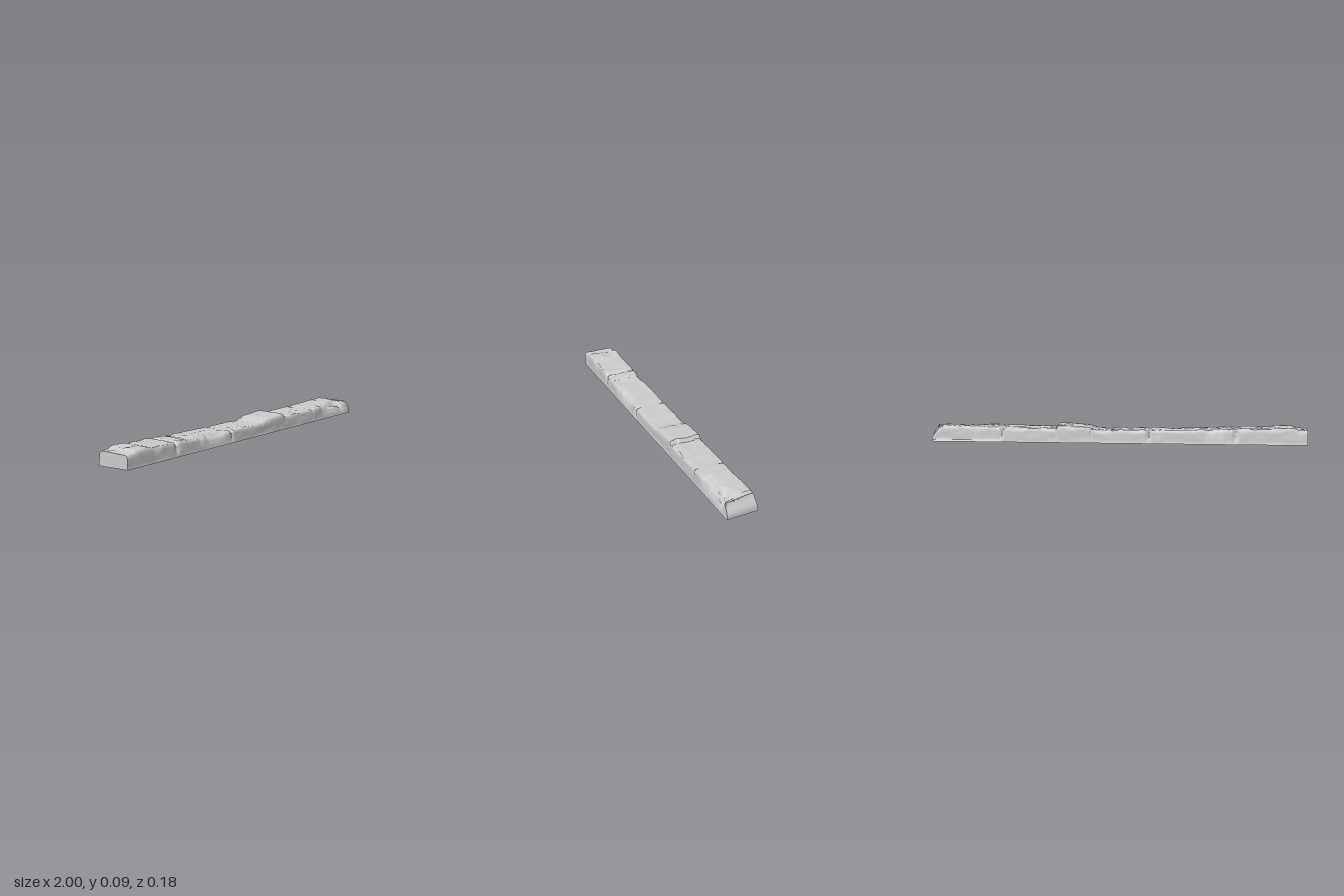
import * as THREE from 'three';
import { mergeVertices, toCreasedNormals } from 'three/addons/utils/BufferGeometryUtils.js';

const { smoothstep, lerp, clamp } = THREE.MathUtils;
const bump = (d, w) => 1 - smoothstep(Math.abs(d), 0, w);

// Smooth seeded value noise in -1..1
const hash = (i, j) => { const s = Math.sin(i * 127.1 + j * 311.7) * 43758.5453; return 2 * (s - Math.floor(s)) - 1; };
function noise(x, y) {
  const i = Math.floor(x), j = Math.floor(y);
  const u = smoothstep(x - i, 0, 1), v = smoothstep(y - j, 0, 1);
  return lerp(lerp(hash(i, j), hash(i + 1, j), u), lerp(hash(i, j + 1), hash(i + 1, j + 1), u), v);
}

// Height of the top along the length
const PROFILE = [[-1, .074], [-.95, .078], [-.92, .09], [-.85, .09], [-.8, .082], [-.66, .081], [-.55, .079],
  [-.5, .074], [-.2, .07], [.1, .067], [.125, .077], [.17, .085], [.305, .091], [.318, .073], [.59, .076],
  [.63, .081], [.94, .084], [.97, .079], [1, .072]];
function heightAt(x) {
  const k = clamp(PROFILE.findIndex(p => p[0] >= x), 1, PROFILE.length - 1);
  const [a, b] = [PROFILE[k - 1], PROFILE[k]];
  return lerp(a[1], b[1], clamp((x - a[0]) / (b[0] - a[0]), 0, 1));
}

// Joints between stones: x, half width, depth on top, depth at the front edge, depth at the back edge
const JOINTS = [[-.63, .022, .007, .016, .018], [-.54, .008, .004, .003, .003], [-.175, .018, .001, .014, .014],
  [.13, .01, .002, .002, .006], [.315, .008, .004, .003, .003], [.6, .014, .002, .007, .014]];
// Broken spots: x, z, half length, half width, depth
const CHIPS = [[-.33, .1, .16, .05, .022], [-.9, -.03, .08, .05, .008], [.84, .1, .2, .085, .028],
  [.93, .06, .06, .06, .012], [-.78, .1, .06, .03, .01], [.42, .1, .07, .025, .008], [.02, -.1, .07, .025, .01],
  [-.52, -.1, .09, .04, .014], [.75, -.1, .1, .03, .008]];

// Unworn cross-section from back foot to front foot: z, share of the height
function crossSection() {
  const wall = [0, .12, .25, .4, .55, .68, .8];
  const back = wall.map(t => [lerp(-.09, -.084, t), t]);
  const front = wall.map(t => [lerp(.09, .087, t), t]).reverse();
  const top = [[-.083, .9], [-.079, .97]];
  for (let i = 0; i <= 18; i++) top.push([lerp(-.073, .076, i / 18), 1]);
  return [...back, ...top, [.082, .97], [.086, .9], ...front];
}

function surfacePoint(x, z, share) {
  const wander = x + .006 * noise(z * 40, 3);
  const edge = smoothstep(Math.abs(z), .045, .08);
  let y = heightAt(wander) - .035 * (z + .08) + .0018 * noise(x * 22, z * 30) + .001 * noise(x * 60, z * 70);
  let inset = .0015 * noise(x * 18, share * 3 + (z > 0 ? 20 : 40)) + .0015;
  for (const [jx, w, top, front, back] of JOINTS) {
    const g = bump(wander - jx, w), side = z > 0 ? front : back;
    y -= g * lerp(top, side, edge);
    inset += g * side * .55 * smoothstep(share, .1, .6);
  }
  for (const [cx, cz, lx, lz, depth] of CHIPS) {
    const r = Math.hypot((x - cx) / lx, (z - cz) / lz) + .18 * noise(x * 25, z * 35 + cx * 9);
    const c = 1 - smoothstep(r, .35, 1);
    y -= c * depth;
    if (Math.abs(cz) > .09) inset += c * depth * .3 * smoothstep(share, .3, .9);
  }
  // the back steps in beyond the last joint
  if (z < 0) inset += .006 * smoothstep(x, .59, .62) * smoothstep(share, 0, .15);
  const zOut = z - Math.sign(z) * Math.max(inset, 0) * smoothstep(share, 0, .1) * smoothstep(Math.abs(z), .03, .084);
  const yOut = Math.max(y, .03) * share;
  // the right end leans inward and is broken toward the back
  const lean = smoothstep(x, .9, 1) * (.036 * smoothstep(yOut, .015, .08) + .028 * smoothstep(-z, -.08, .09));
  return [x - lean, yOut, zOut];
}

// Hollow shell lofted along the length, with closed ends and an open underside
function shellGeometry() {
  const section = crossSection(), n = section.length, columns = 340;
  const pos = [], index = [];
  for (let i = 0; i <= columns; i++) {
    const x = -1 + 2 * i / columns;
    for (const [z, share] of section) pos.push(...surfacePoint(x, z, share));
  }
  for (let i = 0; i < columns; i++) {
    for (let j = 0; j < n - 1; j++) {
      const a = i * n + j, b = a + n;
      index.push(a, a + 1, b, b, a + 1, b + 1);
    }
  }
  const last = columns * n;
  for (let j = 0; j < n / 2 - 1; j++) {
    const k = n - 1 - j;
    index.push(j, k, j + 1, j + 1, k, k - 1);
    index.push(last + j, last + j + 1, last + k, last + j + 1, last + k - 1, last + k);
  }
  const g = new THREE.BufferGeometry();
  g.setAttribute('position', new THREE.Float32BufferAttribute(pos, 3));
  g.setIndex(index);
  return toCreasedNormals(mergeVertices(g), .6);
}

// Narrow flat lip around the open underside
function rimGeometry() {
  const outline = (x0, x1, x2, z) => [[x0, -z], [x1, -z], [x2, z], [x0, z]].map(p => new THREE.Vector2(...p));
  const shape = new THREE.Shape(outline(-1, .972, 1, .09));
  shape.holes.push(new THREE.Path(outline(-.988, .962, .986, .079)));
  return new THREE.ShapeGeometry(shape).rotateX(Math.PI / 2);
}

export function createModel() {
  const group = new THREE.Group();
  group.name = 'stoneLedge';
  const stone = new THREE.MeshStandardMaterial({ color: 0xcccccc, side: THREE.DoubleSide });
  const add = (name, geometry) => {
    const mesh = new THREE.Mesh(geometry, stone);
    mesh.name = name;
    group.add(mesh);
  };
  add('stoneShell', shellGeometry());
  add('bottomRim', rimGeometry());
  return group;
}
